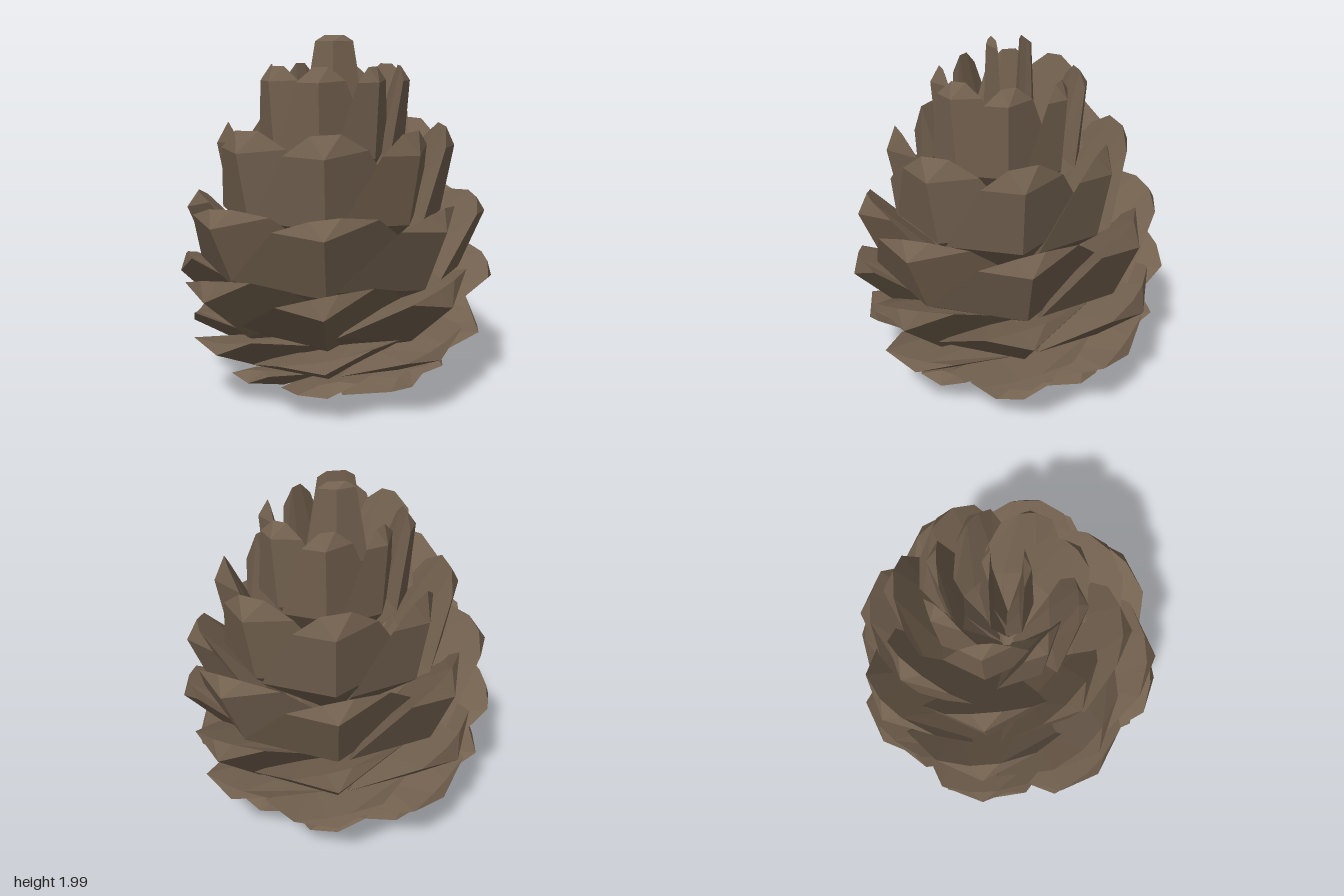
import * as THREE from 'three';

// Each ring: scale count, half widths at tip edge, shoulder and belly, fold depth of the cross-section,
// sideways tilt and start angle in degrees, then the scale's profile as [radius, height].
const rings = [
  { n: 8, half: [0.03, 0.07, 0.08], fold: 0.35, tilt: 16, start: 8, root: [0, 0.02], belly: [0.14, 0.015], ridge: [0.33, 0.055], top: [0.29, 0.085] },
  { n: 8, half: [0.05, 0.16, 0.28], fold: 0.3, tilt: 12, start: 0, root: [0.04, 0.06], belly: [0.38, 0.065], ridge: [0.63, 0.14], top: [0.57, 0.2] },
  { n: 8, half: [0.06, 0.24, 0.42], fold: 0.35, tilt: 11, start: 0, root: [0.08, 0.12], belly: [0.53, 0.21], ridge: [0.83, 0.35], top: [0.8, 0.41] },
  { n: 8, half: [0.07, 0.25, 0.47], fold: 0.5, tilt: 13, start: 0, root: [0.1, 0.16], belly: [0.62, 0.4], ridge: [0.9, 0.65], top: [0.86, 0.76] },
  { n: 8, half: [0.08, 0.27, 0.51], fold: 0.5, tilt: 13, start: 0, root: [0.1, 0.3], belly: [0.71, 0.7], ridge: [0.85, 1.03], top: [0.78, 1.125] },
  { n: 8, half: [0.08, 0.22, 0.4], fold: 0.5, tilt: 14, start: -1, root: [0.1, 0.6], belly: [0.6, 1.03], ridge: [0.67, 1.4], top: [0.6, 1.515] },
  { n: 8, half: [0.04, 0.13, 0.26], fold: 0.5, tilt: 20, start: -8, root: [0.08, 0.95], belly: [0.39, 1.36], ridge: [0.42, 1.76], top: [0.36, 1.84] },
  { n: 2, half: [0.05, 0.1, 0.17], fold: 0.35, tilt: 8, start: 135, root: [0, 1.1], belly: [0.14, 1.55], ridge: [0.12, 1.97], top: [0.08, 2.0] },
];

// A scale is three five-sided sections: root, belly and the bevelled tip.
function scaleGeometry({ half, fold, tilt, root, belly, ridge, top }) {
  const [tip, shoulder, wide] = half;
  const dir = new THREE.Vector2(ridge[0] - belly[0], ridge[1] - belly[1]).normalize();
  const turn = THREE.MathUtils.degToRad(tilt);

  // Moves a profile point sideways by u and into the cone by depth; the tilt sinks the right edge
  const place = ([r, y], u, depth) => {
    const inward = depth + u * Math.sin(turn);
    return [u * Math.cos(turn), y + dir.x * inward, r - dir.y * inward];
  };
  // Section order: ridge, right, back right, back left, left
  const section = (front, w, back, backHalf, backDepth) => [
    place(front, 0, 0),
    place(front, w, w * fold),
    place(back, backHalf, backDepth),
    place(back, -backHalf, backDepth),
    place(front, -w, w * fold),
  ];
  const sections = [
    section(root, 0.04, root, 0.02, 0.04),
    section(belly, wide, belly, wide * 0.35, wide * (fold + 0.08)),
    section(ridge, shoulder, top, tip, 0),
  ];

  const index = [];
  for (let a = 0; a < 10; a += 5) {
    for (let i = 0; i < 5; i++) {
      const j = (i + 1) % 5;
      index.push(a + i, a + j, a + 5 + j, a + i, a + 5 + j, a + 5 + i);
    }
  }
  // Root cap and bevelled tip
  for (let i = 1; i < 4; i++) index.push(0, i + 1, i, 10, 10 + i, 11 + i);

  const geometry = new THREE.BufferGeometry();
  geometry.setAttribute('position', new THREE.Float32BufferAttribute(sections.flat(2), 3));
  geometry.setIndex(index);
  const flat = geometry.toNonIndexed();
  flat.computeVertexNormals();
  return flat;
}

export function createModel() {
  const cone = new THREE.Group();
  cone.name = 'pineCone';
  const material = new THREE.MeshStandardMaterial({ color: 0x746250, flatShading: true, side: THREE.DoubleSide });

  rings.forEach((ring, k) => {
    const group = new THREE.Group();
    group.name = `scaleRing${k + 1}`;
    const geometry = scaleGeometry(ring);
    for (let i = 0; i < ring.n; i++) {
      const scale = new THREE.Mesh(geometry, material);
      scale.name = 'scale';
      scale.rotation.y = THREE.MathUtils.degToRad(ring.start) + (i / ring.n) * Math.PI * 2;
      group.add(scale);
    }
    cone.add(group);
  });
  return cone;
}
